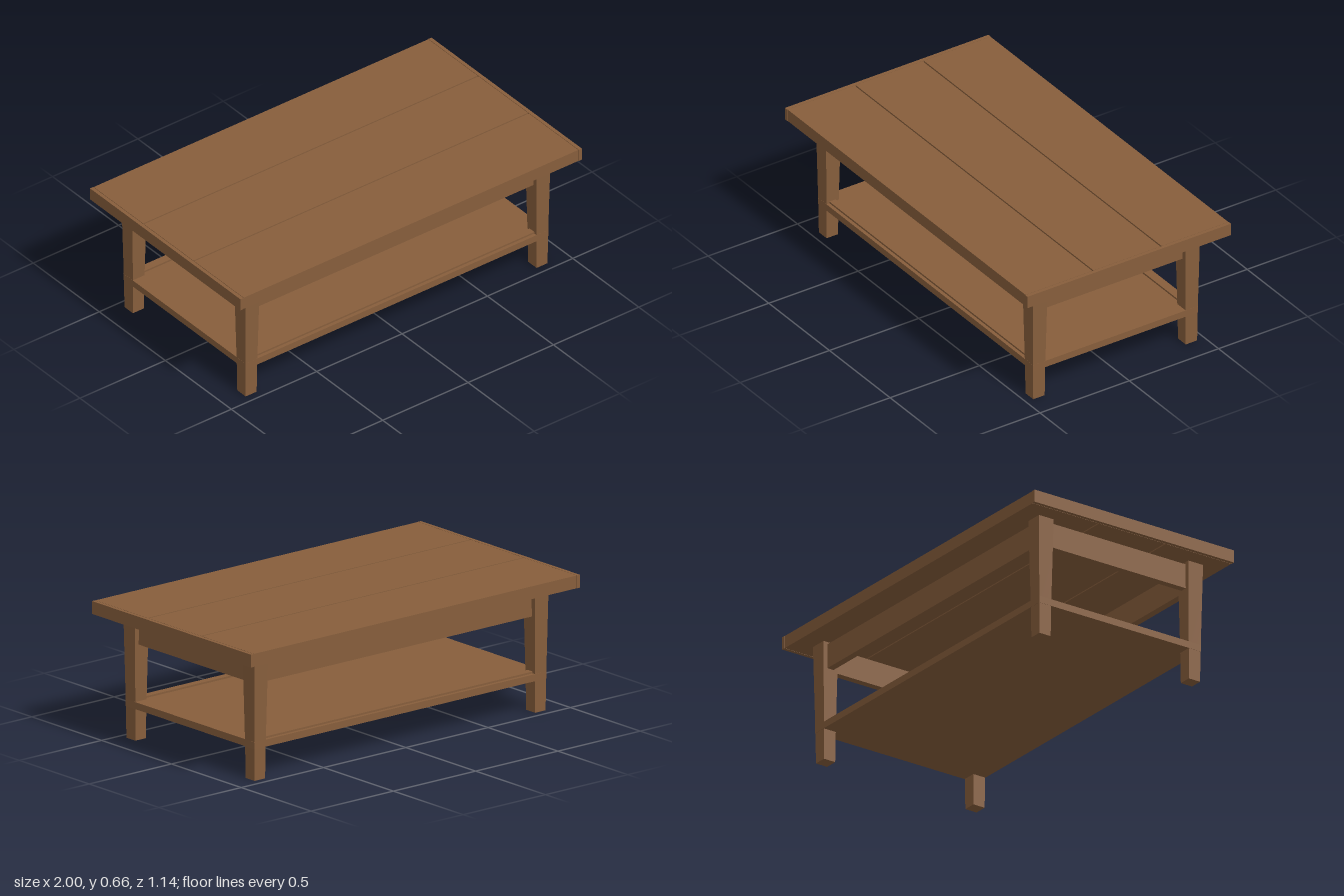
import * as THREE from 'three';

export function createModel() {
  const table = new THREE.Group();
  table.name = 'coffeeTable';
  const wood = new THREE.MeshStandardMaterial({ color: 0x875e3c });
  wood.name = 'brown wood';

  // Box given by its x, y and z ranges
  function board(name, [x0, x1], [y0, y1], [z0, z1]) {
    const mesh = new THREE.Mesh(new THREE.BoxGeometry(x1 - x0, y1 - y0, z1 - z0), wood);
    mesh.position.set((x0 + x1) / 2, (y0 + y1) / 2, (z0 + z1) / 2);
    mesh.name = name;
    table.add(mesh);
  }

  // Table top: three planks with narrow gaps, capped at both ends
  const topY = [0.596, 0.658];
  for (const i of [-1, 0, 1]) {
    board('topPlank', [-0.98, 0.98], topY, [i * 0.381 - 0.187, i * 0.381 + 0.187]);
  }

  // Square leg: straight foot below the shelf, widening towards the top
  const legLevels = [[0, 0.032], [0.17, 0.034], [0.596, 0.042]];
  function legGeometry() {
    const geometry = new THREE.BoxGeometry(2, 2, 2, 1, 2, 1);
    const p = geometry.attributes.position;
    for (let i = 0; i < p.count; i++) {
      const [y, half] = legLevels[Math.round(p.getY(i)) + 1];
      p.setXYZ(i, p.getX(i) * half, y, p.getZ(i) * half);
    }
    geometry.computeVertexNormals();
    return geometry;
  }
  const legShape = legGeometry();

  for (const s of [-1, 1]) {
    const range = (a, b) => (s > 0 ? [a, b] : [-b, -a]);
    board('topEndCap', range(0.982, 1), topY, [-0.57, 0.57]);
    board('longApron', [-0.815, 0.815], [0.464, 0.586], range(0.41, 0.445));
    board('sideApron', range(0.835, 0.87), [0.464, 0.586], [-0.39, 0.39]);
    // Low lip along the long edge of the shelf
    board('shelfLip', [-0.82, 0.82], [0.186, 0.197], range(0.41, 0.445));
    for (const t of [-1, 1]) {
      const leg = new THREE.Mesh(legShape, wood);
      leg.position.set(s * 0.852, 0, t * 0.427);
      leg.name = 'leg';
      table.add(leg);
    }
  }

  // Lower shelf, reaching the outer corners of the legs
  board('shelf', [-0.887, 0.887], [0.154, 0.188], [-0.462, 0.462]);
  return table;
}
